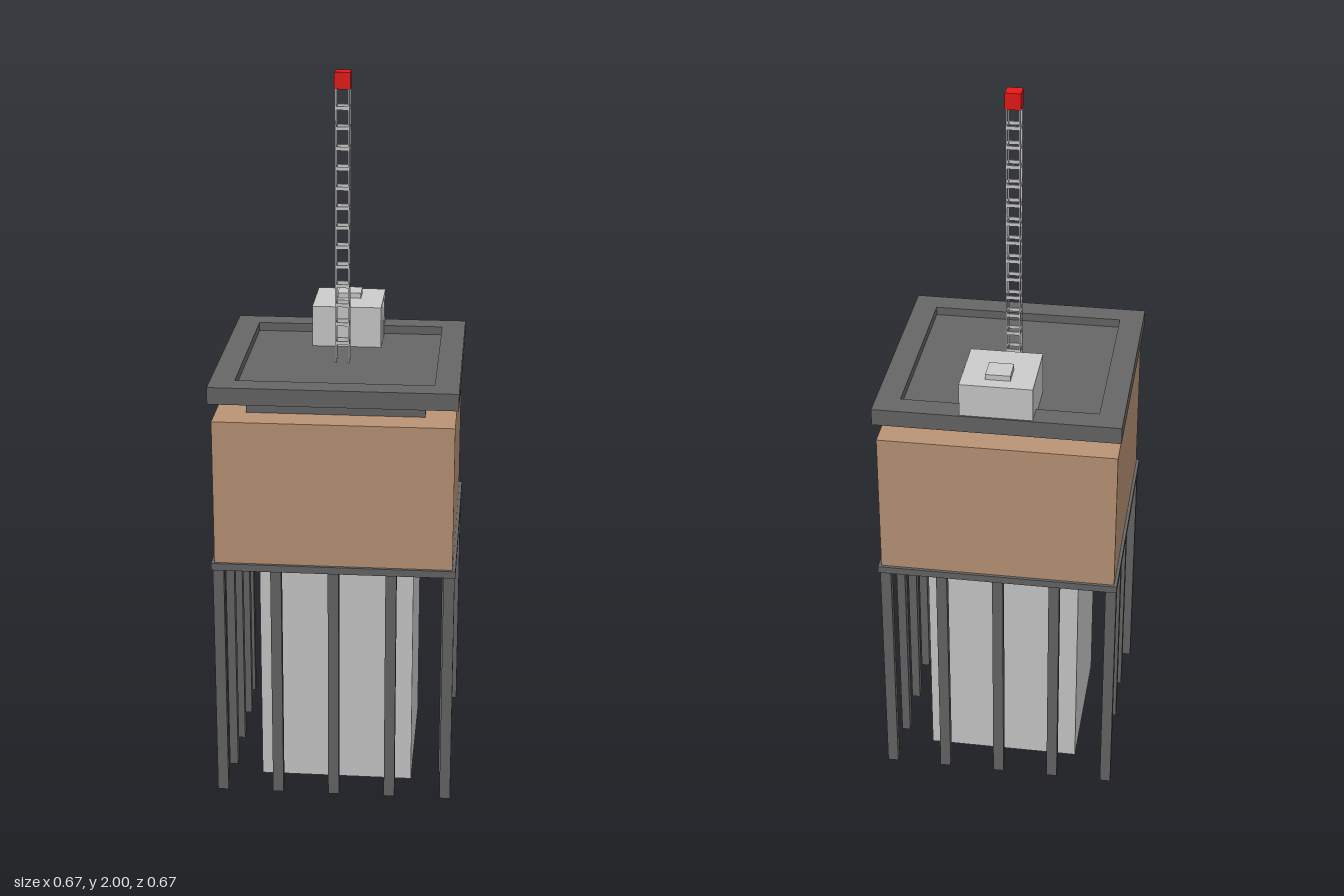
import * as THREE from 'three';

export function createModel() {
  const model = new THREE.Group();
  model.name = 'tower';
  const mat = (color) => new THREE.MeshStandardMaterial({ color });
  const grey = mat(0xcccccc), dark = mat(0x666666), tan = mat(0xba9476), red = mat(0xe81717);

  // Box from its size, base height and plan position
  function box(name, material, [w, h, d], x, y, z, parent = model) {
    const mesh = new THREE.Mesh(new THREE.BoxGeometry(w, h, d), material);
    mesh.name = name;
    mesh.position.set(x, y + h / 2, z);
    parent.add(mesh);
    return mesh;
  }
  function group(name) {
    const g = new THREE.Group();
    g.name = name;
    model.add(g);
    return g;
  }

  // Lower core, floor plate, main block and recessed neck
  box('core', grey, [0.43, 0.69, 0.43], 0, 0, 0);
  box('floorPlate', dark, [0.667, 0.02, 0.667], 0, 0.69, 0);
  box('mainBlock', tan, [0.65, 0.408, 0.65], 0, 0.71, 0);
  box('neck', dark, [0.484, 0.054, 0.484], 0, 1.118, 0);

  // Columns: five along front and back, three between them on each side
  const columns = group('columns');
  for (const s of [-1, 1]) {
    for (let i = -2; i <= 2; i++) {
      box('column', dark, [0.03, 0.69, 0.024], i * 0.158, 0, s * 0.305, columns);
      if (Math.abs(i) < 2) box('column', dark, [0.024, 0.69, 0.03], s * 0.305, 0, i * 0.158, columns);
    }
  }

  // Roof slab with a raised rim around a shallow recess
  box('roofSlab', dark, [0.667, 0.023, 0.667], 0, 1.17, 0);
  const square = (T, r) => new T([[-r, -r], [r, -r], [r, r], [-r, r]].map(([x, y]) => new THREE.Vector2(x, y)));
  const rimShape = square(THREE.Shape, 0.3335);
  rimShape.holes.push(square(THREE.Path, 0.267));
  const rim = new THREE.Mesh(new THREE.ExtrudeGeometry(rimShape, { depth: 0.024, bevelEnabled: false }), dark);
  rim.name = 'roofRim';
  rim.rotation.x = -Math.PI / 2;
  rim.position.y = 1.193;
  model.add(rim);

  // Rooftop plant room with its hatch
  box('plantRoom', grey, [0.196, 0.117, 0.197], 0, 1.193, -0.23);
  box('roofHatch', grey, [0.067, 0.015, 0.067], 0, 1.31, -0.258);

  // Ladder on the plant room's side
  const ladder = group('ladder');
  for (const s of [-1, 1]) box('ladderRail', grey, [0.003, 0.11, 0.003], 0.0995, 1.195, -0.234 + s * 0.012, ladder);
  for (let i = 0; i < 7; i++) box('ladderRung', grey, [0.003, 0.003, 0.024], 0.0995, 1.205 + i * 0.0145, -0.234, ladder);

  // Lattice mast: four posts tied by square frames
  const mast = group('mast');
  for (const s of [-1, 1]) {
    for (const t of [-1, 1]) box('mastPost', grey, [0.004, 0.765, 0.004], s * 0.018, 1.193, t * 0.018, mast);
    for (let i = 0; i < 13; i++) {
      const y = 1.245 + i * 0.0545;
      box('mastTie', grey, [0.04, 0.01, 0.004], 0, y, s * 0.018, mast);
      box('mastTie', grey, [0.004, 0.01, 0.032], s * 0.018, y, 0, mast);
    }
  }
  box('mastBeacon', red, [0.043, 0.045, 0.043], 0, 1.955, 0);

  return model;
}
